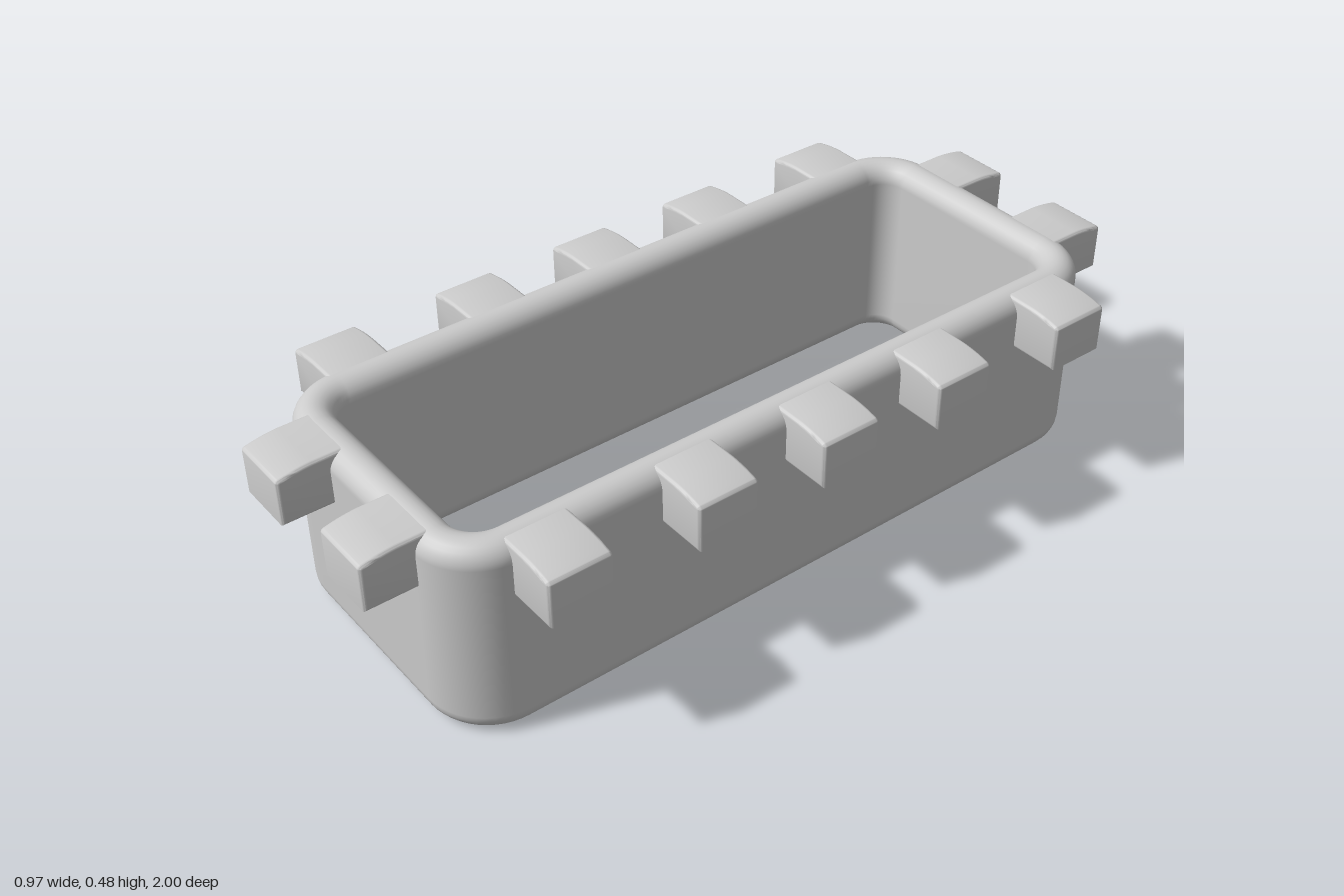
import * as THREE from 'three';
import { toCreasedNormals } from 'three/addons/utils/BufferGeometryUtils.js';

const HALF_X = 0.365, HALF_Z = 0.88, HEIGHT = 0.48;
const WALL_R = 0.046;   // half the wall thickness, also the rim rounding
const CORNER_R = 0.105; // corner radius along the middle of the wall

// Sweeps a stadium cross-section around a rounded rectangle
function wallGeometry() {
  const path = [], profile = [];
  const cx = HALF_X - WALL_R - CORNER_R, cz = HALF_Z - WALL_R - CORNER_R;
  [[1, 1], [-1, 1], [-1, -1], [1, -1]].forEach(([sx, sz], k) => {
    for (let i = 0; i <= 12; i++) {
      path.push({ x: sx * cx, z: sz * cz, a: (k + i / 12) * Math.PI / 2 });
    }
  });
  for (const half of [0, 1]) {
    for (let i = 0; i <= 12; i++) {
      const t = (half + i / 12) * Math.PI;
      const mid = half === 0 ? HEIGHT - WALL_R : WALL_R;
      profile.push([WALL_R * Math.cos(t), mid + WALL_R * Math.sin(t)]);
    }
  }
  const pos = [], index = [], n = path.length, m = profile.length;
  path.forEach((p, i) => profile.forEach(([d, y], j) => {
    const r = CORNER_R + d;
    pos.push(p.x + r * Math.cos(p.a), y, p.z + r * Math.sin(p.a));
    const i2 = (i + 1) % n, j2 = (j + 1) % m;
    const a = i * m + j, b = i * m + j2, c = i2 * m + j, e = i2 * m + j2;
    index.push(a, b, c, b, e, c);
  }));
  const g = new THREE.BufferGeometry();
  g.setAttribute('position', new THREE.Float32BufferAttribute(pos, 3));
  g.setIndex(index);
  g.computeVertexNormals();
  return g;
}

// Tab pointing along +x from the wall face at x = 0, with a drooping top
function tabGeometry() {
  const bevel = 0.008, width = 0.15;
  const s = new THREE.Shape();
  s.moveTo(-0.045, 0.354);
  s.lineTo(0.118, 0.354);
  s.lineTo(0.118, 0.456);
  s.quadraticCurveTo(0.118, 0.465, 0.11, 0.467);
  s.quadraticCurveTo(0.07, 0.477, 0.035, 0.478);
  s.lineTo(-0.045, 0.478);
  s.closePath();
  const g = new THREE.ExtrudeGeometry(s, {
    depth: width - 2 * bevel, curveSegments: 6,
    bevelThickness: bevel, bevelSize: bevel, bevelOffset: -bevel, bevelSegments: 3,
  });
  g.translate(0, 0, -width / 2 + bevel);
  return toCreasedNormals(g, 0.7);
}

export function createModel() {
  const group = new THREE.Group();
  const material = new THREE.MeshStandardMaterial({ color: 0xcccccc });

  const wall = new THREE.Mesh(wallGeometry(), material);
  wall.name = 'roundedFrame';
  group.add(wall);

  const tabGeo = tabGeometry();
  const addTab = (name, x, z, turn) => {
    const tab = new THREE.Mesh(tabGeo, material);
    tab.name = name;
    tab.position.set(x, 0, z);
    tab.rotation.y = turn;
    group.add(tab);
  };

  // Five tabs along each long side
  for (const z of [-0.673, -0.32, 0, 0.32, 0.673]) {
    addTab('leftTab', HALF_X, z, 0);
    addTab('rightTab', -HALF_X, z, Math.PI);
  }
  // Two tabs on each end, slightly off centre
  for (const x of [0.154, -0.168]) {
    addTab('frontTab', x, HALF_Z, -Math.PI / 2);
    addTab('backTab', -x, -HALF_Z, Math.PI / 2);
  }
  return group;
}
